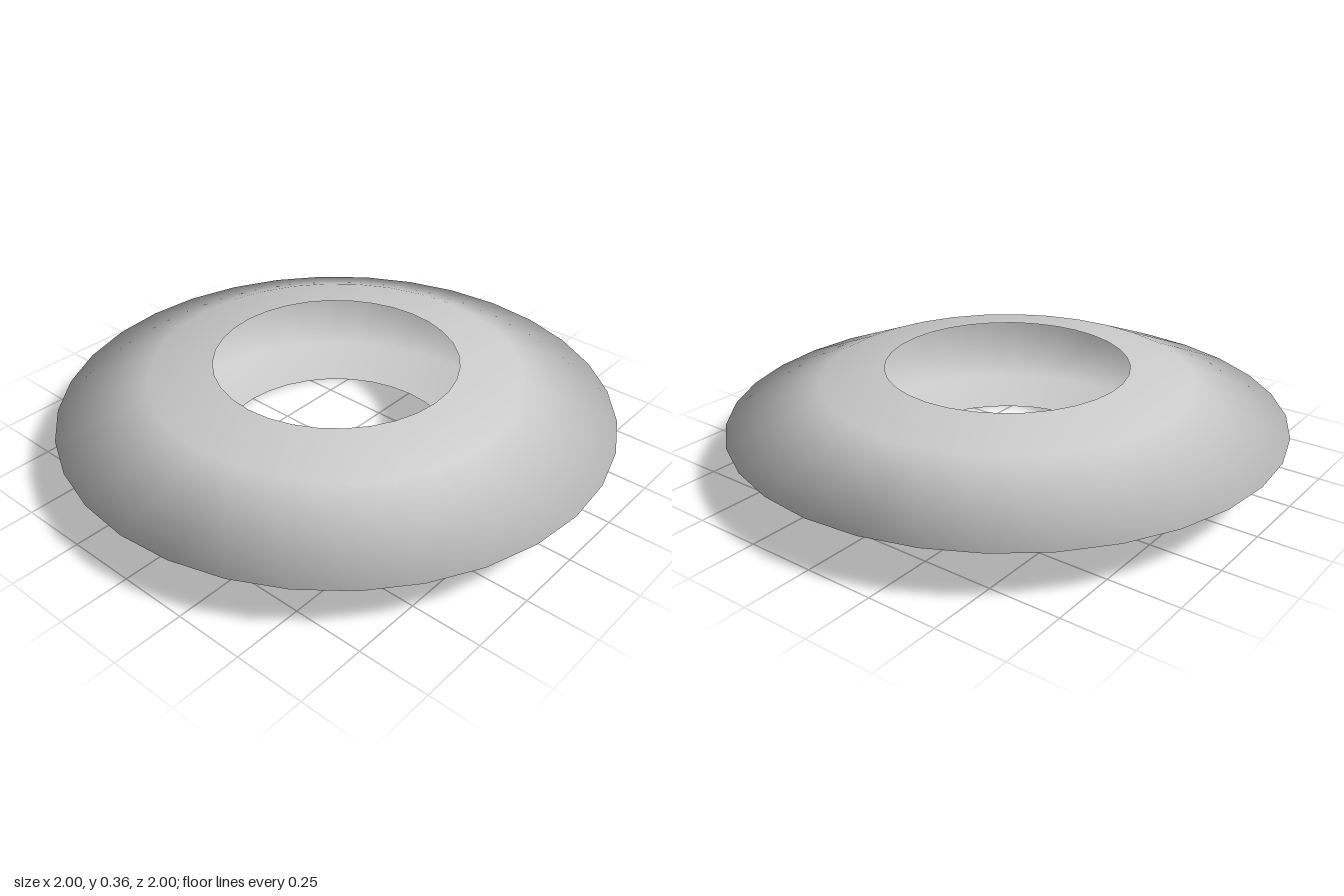
import * as THREE from 'three';

export function createModel() {
  const model = new THREE.Group();
  model.name = 'ringModel';

  // Hollow ring shell, open along its inner rims: half profile from bottom rim to top rim
  const profile = [
    [0.437, 0],
    [0.665, 0.043],
    [1, 0.179],
    [0.665, 0.315],
    [0.437, 0.358],
  ].map(([r, y]) => new THREE.Vector2(r, y));

  const shell = new THREE.Mesh(
    new THREE.LatheGeometry(profile, 32),
    new THREE.MeshStandardMaterial({ color: 0xcccccc, side: THREE.DoubleSide })
  );
  shell.name = 'ringShell';
  model.add(shell);

  return model;
}
